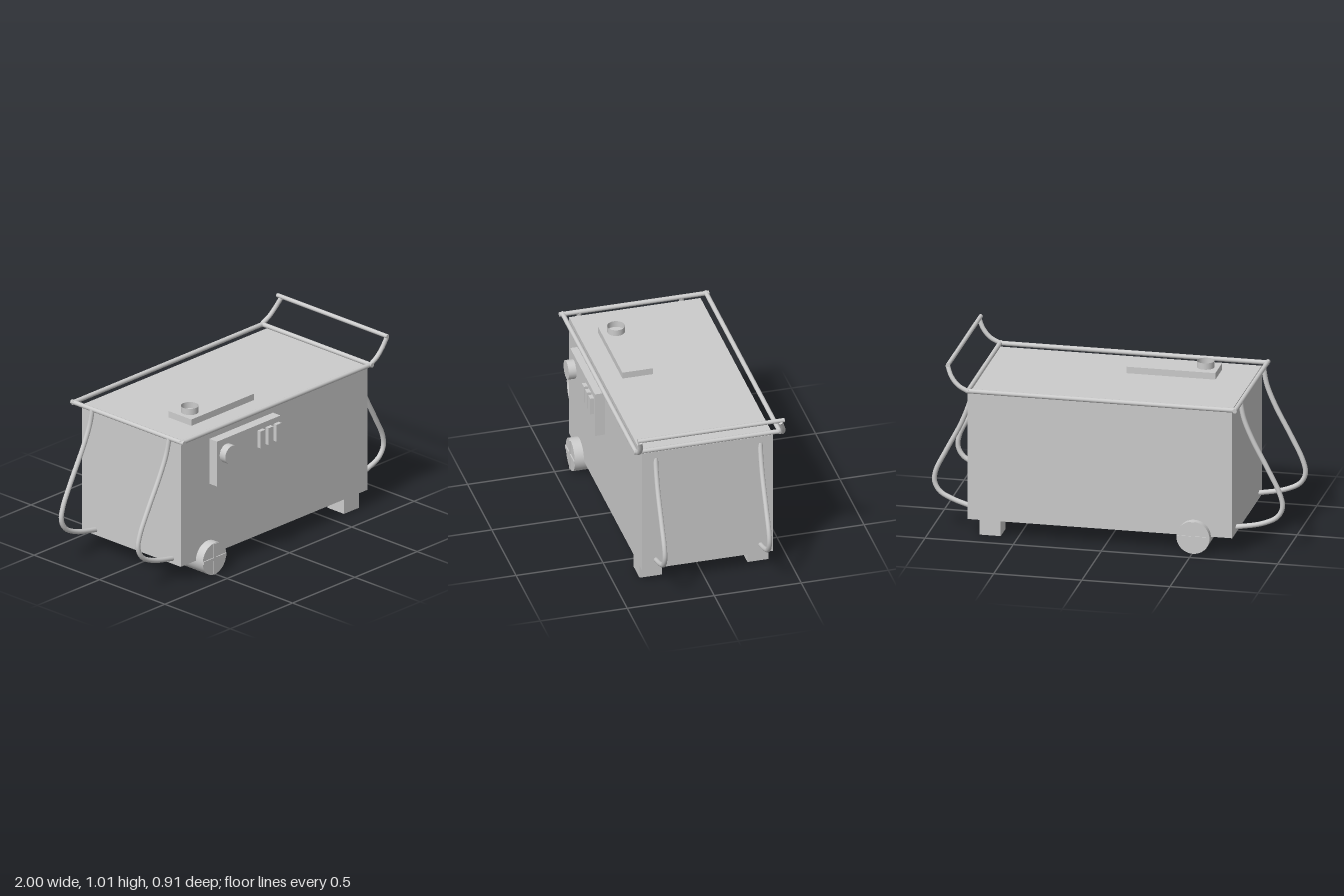
import * as THREE from 'three';

const grey = new THREE.MeshStandardMaterial({ color: 0xcccccc, side: THREE.DoubleSide });

export function createModel() {
  const model = new THREE.Group();

  const add = (name, geometry) => {
    const mesh = new THREE.Mesh(geometry, grey);
    mesh.name = name;
    model.add(mesh);
    return mesh;
  };
  // box given by its extents on each axis
  const box = (name, [x0, x1], [y0, y1], [z0, z1]) =>
    add(name, new THREE.BoxGeometry(x1 - x0, y1 - y0, z1 - z0))
      .position.set((x0 + x1) / 2, (y0 + y1) / 2, (z0 + z1) / 2);
  // straight round bar between two points
  const bar = (name, a, b, radius) => {
    const from = new THREE.Vector3(...a), to = new THREE.Vector3(...b);
    const mesh = add(name, new THREE.CylinderGeometry(radius, radius, from.distanceTo(to), 20));
    mesh.position.copy(from).add(to).multiplyScalar(0.5);
    mesh.quaternion.setFromUnitVectors(new THREE.Vector3(0, 1, 0), to.sub(from).normalize());
  };
  // bent round tube with closed ends
  const tube = (name, points, radius) => {
    const curve = new THREE.CatmullRomCurve3(points.map(p => new THREE.Vector3(...p)));
    add(name, new THREE.TubeGeometry(curve, 48, radius, 14));
    for (const t of [0, 1]) {
      const cap = add(name + 'End', new THREE.CircleGeometry(radius, 14));
      cap.position.copy(curve.getPointAt(t));
      cap.quaternion.setFromUnitVectors(new THREE.Vector3(0, 0, 1),
        curve.getTangentAt(t).multiplyScalar(t ? 1 : -1));
    }
  };

  // Cabinet
  box('cabinet', [-0.72, 0.78], [0.1, 0.855], [-0.4, 0.355]);

  // Lid plate with an open filler neck
  box('lidPlate', [-0.52, -0.015], [0.85, 0.893], [0.07, 0.245]);
  add('fillerNeck', new THREE.CylinderGeometry(0.049, 0.049, 0.04, 40, 1, true))
    .position.set(-0.445, 0.91, 0.162);

  // Control panel: dial and three switches
  box('controlPanel', [-0.49, 0.02], [0.53, 0.8], [0.35, 0.413]);
  bar('dial', [-0.414, 0.71, 0.41], [-0.414, 0.71, 0.457], 0.055);
  for (const x of [-0.165, -0.1, -0.035])
    box('switch', [x, x + 0.04], [0.665, 0.767], [0.41, 0.436]);

  // Feet under the left end
  for (const z of [[0.222, 0.35], [-0.39, -0.27]])
    box('foot', [0.595, 0.715], [0.01, 0.11], z);

  // Wheels with a raised cross on the outer face
  for (const [inner, outer, face] of [[0.222, 0.408, 0.414], [-0.255, -0.436, -0.441]]) {
    const wheel = add('wheel', new THREE.CylinderGeometry(0.094, 0.094, Math.abs(outer - inner), 48));
    wheel.rotation.x = Math.PI / 2;
    wheel.position.set(-0.505, 0.099, (inner + outer) / 2);
    const z = [Math.min(outer, face), Math.max(outer, face)];
    box('wheelCross', [-0.597, -0.413], [0.09, 0.108], z);
    box('wheelCross', [-0.514, -0.496], [0.007, 0.191], z);
  }

  // Rail frame around the top
  const y = 0.865, r = 0.013;
  bar('frontRail', [-0.755, y, 0.385], [0.78, y, 0.385], r);
  bar('backRail', [-0.755, y, -0.44], [0.78, y, -0.44], r);
  bar('rightRail', [-0.745, y, -0.455], [-0.745, y, 0.405], r);
  bar('leftRail', [0.77, y, -0.445], [0.77, y, 0.4], r);

  // Push handle on curved arms
  bar('pushHandle', [0.885, 1.006, -0.435], [0.885, 1.006, 0.408], 0.012);
  for (const z of [[0.385, 0.383, 0.386, 0.396], [-0.445, -0.442, -0.432, -0.41]])
    tube('handleArm', [[0.77, y, z[0]], [0.825, 0.895, z[1]], [0.865, 0.94, z[2]], [0.893, 1.0, z[3]]], 0.013);

  // Bowed side handles, a pair at each end
  const rightBow = [[-0.745, 0.865], [-0.765, 0.77], [-0.815, 0.65], [-0.905, 0.48], [-0.97, 0.345],
    [-0.985, 0.27], [-0.955, 0.21], [-0.87, 0.165], [-0.71, 0.13]];
  const leftBow = [[0.77, 0.81], [0.795, 0.73], [0.835, 0.63], [0.92, 0.465], [0.978, 0.345],
    [0.985, 0.28], [0.955, 0.225], [0.88, 0.185], [0.77, 0.15]];
  for (const [name, bow, ends, mid] of [
    ['rightBowHandle', rightBow, 0.29, 0.28], ['rightBowHandle', rightBow, -0.297, -0.307],
    ['leftBowHandle', leftBow, 0.273, 0.28], ['leftBowHandle', leftBow, -0.328, -0.321]])
    tube(name, bow.map(([px, py], i) =>
      [px, py, ends + (mid - ends) * Math.sin(Math.PI * i / (bow.length - 1))]), 0.014);

  return model;
}
